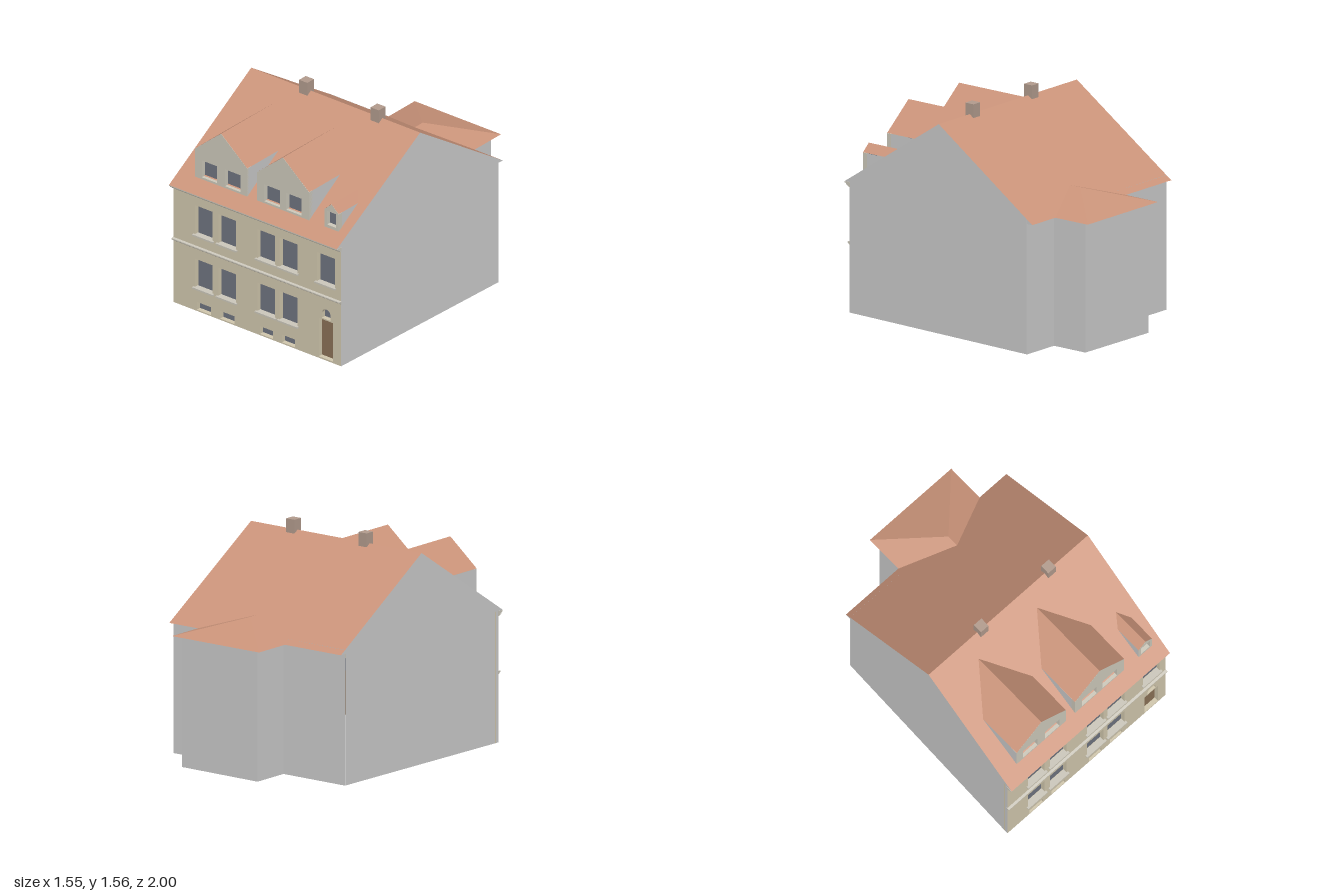
import * as THREE from 'three';

const mat = (color) => new THREE.MeshStandardMaterial({ color, side: THREE.DoubleSide, flatShading: true });

export function createModel() {
  const house = new THREE.Group();
  const M = {
    wall: mat(0xcccccc), facade: mat(0xd2c8ae), dormer: mat(0xcecabc), roof: mat(0xcb947a),
    glass: mat(0x6f7480), door: mat(0x8a7156), chimney: mat(0xb39c8e), trim: mat(0xccc8bc),
  };
  const add = (name, geometry, material, parent = house) => {
    const mesh = new THREE.Mesh(geometry, material);
    mesh.name = name;
    parent.add(mesh);
    return mesh;
  };
  // Box given by its minimum and maximum corners
  const box = (name, x0, x1, y0, y1, z0, z1, material, parent) =>
    add(name, new THREE.BoxGeometry(x1 - x0, y1 - y0, z1 - z0), material, parent)
      .position.set((x0 + x1) / 2, (y0 + y1) / 2, (z0 + z1) / 2);
  // Flat polygon, fanned from its first corner
  const face = (name, pts, material, parent) => {
    const v = [];
    for (let i = 1; i < pts.length - 1; i++) v.push(...pts[0], ...pts[i], ...pts[i + 1]);
    const g = new THREE.BufferGeometry();
    g.setAttribute('position', new THREE.Float32BufferAttribute(v, 3));
    g.computeVertexNormals();
    return add(name, g, material, parent);
  };
  const outline = (pts) => new THREE.Shape(pts.map(([x, y]) => new THREE.Vector2(x, y)));

  // Wall slab with recessed openings [x0, x1, y0, y1, material, arched]
  const DEPTH = 0.035;
  const piercedWall = (name, pts, openings, z, material, parent) => {
    const shape = outline(pts);
    for (const [x0, x1, y0, y1, fill, arched] of openings) {
      const hole = new THREE.Path();
      const r = (x1 - x0) / 2, top = arched ? y1 - r : y1;
      hole.moveTo(x0, y0).lineTo(x0, top);
      if (arched) hole.absarc(x0 + r, top, r, Math.PI, 0, true);
      else hole.lineTo(x1, top);
      hole.lineTo(x1, y0).lineTo(x0, y0);
      shape.holes.push(hole);
      box(fill === M.door ? 'door' : 'windowPane', x0 - 0.005, x1 + 0.005, y0 - 0.005, y1 + 0.005,
        z - DEPTH - 0.01, z - DEPTH + 0.001, fill, parent);
    }
    const g = new THREE.ExtrudeGeometry(shape, { depth: DEPTH, bevelEnabled: false, curveSegments: 12 });
    add(name, g.translate(0, 0, z - DEPTH), material, parent);
  };

  // Slightly skewed plan: the gable ends follow these lines
  const xl = (z) => -0.774 + (1 - z) * 0.029;
  const xr = (z) => 0.704 + (1 - z) * 0.041;
  const EAVE = 0.925, RIDGE = 1.485, ZR = 0.14, ZF = 1, ZB = -0.715, FRONT = 0.955, BACK = -0.669;
  const roofZ = (y) => ZF - (y - EAVE) * (ZF - ZR) / (RIDGE - EAVE);

  // Front wall with windows, cellar lights, door and arched light
  const bays = [[-0.58, -0.425], [-0.375, -0.22], [-0.03, 0.125], [0.165, 0.32]];
  const upper = [...bays, [0.495, 0.65]];
  const cellar = [[-0.565, -0.44], [-0.36, -0.235], [-0.008, 0.105], [0.185, 0.298]];
  piercedWall('frontWall', [[-0.772, 0], [0.705, 0], [0.705, EAVE], [-0.772, EAVE]], [
    ...bays.map(([a, b]) => [a, b, 0.18, 0.4, M.glass]),
    ...upper.map(([a, b]) => [a, b, 0.59, 0.815, M.glass]),
    ...cellar.map(([a, b]) => [a, b, 0.01, 0.07, M.glass]),
    [0.51, 0.635, 0.012, 0.31, M.door],
    [0.537, 0.613, 0.32, 0.395, M.glass, true],
  ], FRONT, M.facade);
  const sill = ([a, b], y) => box('windowSill', a - 0.013, b + 0.013, y - 0.01, y + 0.002, FRONT - 0.03, FRONT + 0.018, M.trim);
  bays.forEach((w) => sill(w, 0.18));
  upper.forEach((w) => sill(w, 0.59));

  // Moulded bands: profile of [z, y] run along the front
  const moulding = (name, pts) => {
    const g = new THREE.ExtrudeGeometry(outline(pts.map(([z, y]) => [-z, y])), { depth: 1.482, bevelEnabled: false });
    add(name, g.rotateY(Math.PI / 2).translate(-0.775, 0, 0), M.trim);
  };
  moulding('stringCourse', [[0.95, 0.478], [0.96, 0.482], [0.964, 0.49], [0.973, 0.493], [0.973, 0.501], [0.95, 0.505]]);
  moulding('cornice', [[0.95, 0.89], [0.97, 0.892], [0.975, 0.902], [0.985, 0.904],
    [0.988, 0.913], [0.998, 0.916], [0.998, 0.924], [0.95, 0.924]]);

  // Gable ends, back wall and floor
  for (const [name, x] of [['rightGable', xl], ['leftGable', xr]]) {
    const pts = [[ZR, RIDGE], [ZF, EAVE], [FRONT, EAVE], [FRONT, 0], [BACK, 0], [BACK, EAVE], [ZB, EAVE]];
    face(name, pts.map(([z, y]) => [x(z), y, z]), M.wall);
  }
  face('backWall', [[xr(BACK), 0, -0.665], [xl(BACK), 0, -0.672], [xl(BACK), 0.955, -0.672], [xr(BACK), 0.955, -0.665]], M.wall);
  face('floor', [[xl(FRONT), 0, FRONT], [xl(BACK), 0, BACK], [xr(BACK), 0, BACK], [xr(FRONT), 0, FRONT]], M.wall);
  face('backSoffit', [[xl(ZB), EAVE, ZB], [xr(ZB), EAVE, ZB], [xr(BACK), EAVE, BACK], [xl(BACK), EAVE, BACK]], M.roof);

  // Main roof slopes
  for (const [name, z] of [['frontRoof', ZF], ['backRoof', ZB]])
    face(name, [[xl(z), EAVE, z], [xr(z), EAVE, z], [xr(ZR), RIDGE, ZR], [xl(ZR), RIDGE, ZR]], M.roof);

  // Rear wing with hipped roof
  const wing = new THREE.Group();
  wing.name = 'rearWing';
  house.add(wing);
  const W = [[-0.187, -0.66], [-0.187, -0.955], [0.482, -0.945], [0.482, -0.66]];
  for (let i = 0; i < 3; i++) {
    const [a, b] = [W[i], W[i + 1]];
    face('wingWall', [[a[0], 0, a[1]], [a[0], EAVE, a[1]], [b[0], EAVE, b[1]], [b[0], 0, b[1]]], M.wall, wing);
  }
  face('wingFloor', W.map(([x, z]) => [x, 0, z]), M.wall, wing);
  const L = -0.235, R = 0.525, C = 0.145, HIP = [C, 1.045, -0.62], VALLEY = [C, 1.045, -0.533];
  for (const x of [L, R])
    face('wingRoofSide', [[x, EAVE, -1], HIP, VALLEY, [x, EAVE, ZB]], M.roof, wing);
  face('wingRoofHip', [[L, EAVE, -1], HIP, [R, EAVE, -1]], M.roof, wing);
  face('wingSoffit', [[L, EAVE, -1], [R, EAVE, -1], [R, EAVE, ZB], [L, EAVE, ZB]], M.roof, wing);

  // Gabled dormers
  const dormer = (name, x0, x1, eave, peak, windows) => {
    const g = new THREE.Group(), z = 0.895, y0 = 0.995, xm = (x0 + x1) / 2, up = 0.002;
    g.name = name;
    house.add(g);
    piercedWall('dormerFront', [[x0, y0], [x1, y0], [x1, eave], [xm, peak], [x0, eave]], windows, z, M.dormer, g);
    for (const x of [x0, x1]) {
      face('dormerCheek', [[x, y0, z], [x, eave, z], [x, eave, roofZ(eave)]], M.wall, g);
      face('dormerRoof', [[x, eave + up, z], [xm, peak + up, z],
        [xm, peak + up, roofZ(peak)], [x, eave + up, roofZ(eave)]], M.roof, g);
    }
  };
  const pane = (a, b, y0 = 1.01, y1 = 1.14) => [a, b, y0, y1, M.glass];
  dormer('rightDormer', -0.63, -0.17, 1.212, 1.403, [pane(-0.57, -0.435), pane(-0.365, -0.23)]);
  dormer('middleDormer', -0.085, 0.375, 1.212, 1.403, [pane(-0.02, 0.118), pane(0.173, 0.308)]);
  dormer('smallDormer', 0.51, 0.635, 1.13, 1.185, [pane(0.533, 0.614, 1.017, 1.123)]);

  // Chimneys on the ridge
  for (const x of [-0.26, 0.37]) box('chimney', x - 0.036, x + 0.036, 1.46, 1.56, 0.106, 0.178, M.chimney);

  return house;
}
